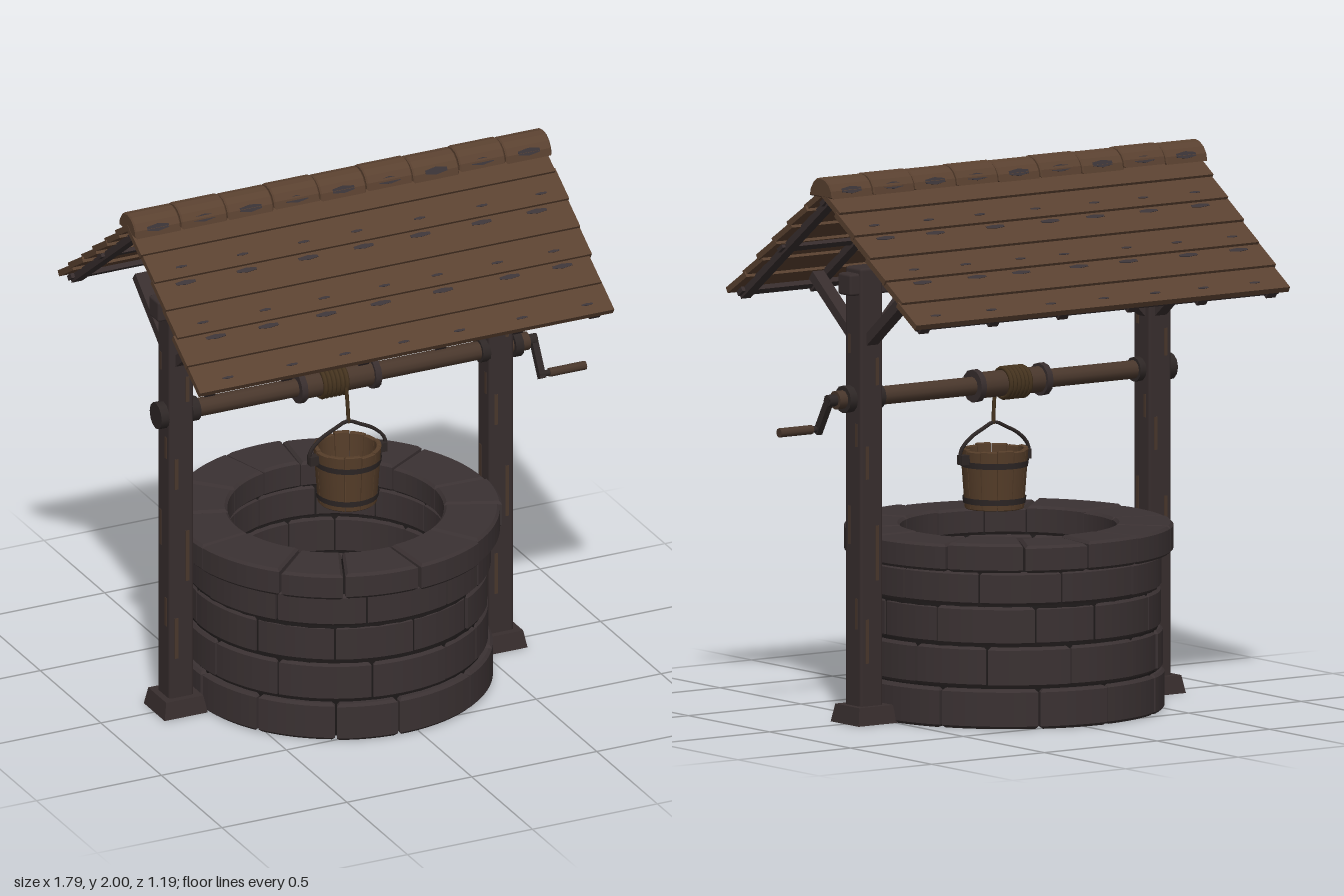
import * as THREE from 'three';
import { RoundedBoxGeometry } from 'three/addons/geometries/RoundedBoxGeometry.js';

const material = (name, color, side = THREE.FrontSide) => {
  const m = new THREE.MeshStandardMaterial({ color, side });
  m.name = name;
  return m;
};
const stone = material('stone', 0x3a3132);
const mortar = material('mortar', 0x1e1a1a, THREE.DoubleSide);
const darkWood = material('dark wood', 0x382e2e);
const roofWood = material('roof wood', 0x5a4130);
const axleWood = material('axle wood', 0x49372c);
const bucketWood = material('bucket wood', 0x553d29);
const iron = material('iron', 0x2e2726);
const ropeFibre = material('rope', 0x46341f);
const worn = material('worn patch', 0x3b3437);

const CX = -0.06; // middle of the well, between the posts

function add(parent, name, geo, mat, x = 0, y = 0, z = 0) {
  const m = new THREE.Mesh(geo, mat);
  m.name = name;
  m.position.set(x, y, z);
  parent.add(m);
  return m;
}
function group(parent, name, x = 0, y = 0, z = 0) {
  const g = new THREE.Group();
  g.name = name;
  g.position.set(x, y, z);
  parent.add(g);
  return g;
}
function seeded(seed) {
  return () => (seed = (seed * 16807) % 2147483647) / 2147483647;
}
// bevelled wedge of a ring, standing on y = 0; taper scales its foot
function ringBlock(inner, outer, a0, a1, height, bevel, taper = 1) {
  const s = new THREE.Shape();
  s.absarc(0, 0, outer, a0, a1, false);
  s.absarc(0, 0, inner, a1, a0, true);
  s.closePath();
  const geo = new THREE.ExtrudeGeometry(s, {
    depth: height - 2 * bevel, curveSegments: 4, bevelEnabled: true,
    bevelSegments: 1, bevelSize: bevel, bevelThickness: bevel, bevelOffset: -bevel });
  geo.translate(0, 0, bevel);
  geo.rotateX(-Math.PI / 2);
  const p = geo.attributes.position;
  for (let i = 0; i < p.count; i++) {
    const k = THREE.MathUtils.lerp(taper, 1, p.getY(i) / height);
    p.setXYZ(i, p.getX(i) * k, p.getY(i), p.getZ(i) * k);
  }
  geo.computeVertexNormals();
  return geo;
}
// square bar between two points
function bar(parent, name, from, to, w, d, mat) {
  const a = new THREE.Vector3(...from), b = new THREE.Vector3(...to);
  const m = add(parent, name, new THREE.BoxGeometry(w, a.distanceTo(b), d), mat);
  m.position.copy(a).add(b).multiplyScalar(0.5);
  m.quaternion.setFromUnitVectors(new THREE.Vector3(0, 1, 0), b.sub(a).normalize());
  return m;
}
// cylinder along x from x0 to x1
function rod(parent, name, x0, x1, r, y, z, mat, sides = 12) {
  const geo = new THREE.CylinderGeometry(r, r, x1 - x0, sides).rotateZ(Math.PI / 2);
  return add(parent, name, geo, mat, (x0 + x1) / 2, y, z);
}
function tube(parent, name, points, r, mat) {
  const curve = new THREE.CatmullRomCurve3(points.map(p => new THREE.Vector3(...p)));
  return add(parent, name, new THREE.TubeGeometry(curve, 24, r, 6), mat);
}

function buildWell(root) {
  const rand = seeded(41);
  const well = group(root, 'stoneWell', CX, 0, 0);
  // base y, height, inner radius, outer radius, block count
  const courses = [
    [0.0, 0.144, 0.395, 0.568, 12], [0.15, 0.146, 0.4, 0.558, 12],
    [0.302, 0.14, 0.4, 0.55, 12], [0.448, 0.122, 0.4, 0.56, 12],
    [0.572, 0.098, 0.39, 0.6, 13]];
  courses.forEach(([y, h, ri, ro, n], row) => {
    const step = Math.PI * 2 / n;
    const cuts = Array.from({ length: n }, (_, i) => (i + row * 0.5 + (rand() - 0.5) * 0.4) * step);
    cuts.push(cuts[0] + Math.PI * 2);
    for (let i = 0; i < n; i++) {
      const r = ro - rand() * 0.01, top = row === 4 ? rand() * 0.01 : 0;
      add(well, row === 4 ? 'rimStone' : 'wallStone',
        ringBlock(ri, r, cuts[i] + 0.007, cuts[i + 1] - 0.007, h + top, 0.01), stone, 0, y, 0);
    }
  });
  // mortar core filling the joints
  const core = [[0.41, 0.01], [0.54, 0.01], [0.54, 0.65], [0.41, 0.65], [0.41, 0.01]];
  add(well, 'mortarCore', new THREE.LatheGeometry(core.map(p => new THREE.Vector2(...p)), 40), mortar);
  add(well, 'shaftFloor', new THREE.CircleGeometry(0.41, 32).rotateX(-Math.PI / 2), mortar, 0, 0.07, 0);
}

function buildFrame(root) {
  const frame = group(root, 'frame', CX, 0, 0);
  for (const s of [-1, 1]) {
    const x = s * 0.64;
    add(frame, 'post', new RoundedBoxGeometry(0.1, 1.66, 0.1, 1, 0.012), darkWood, x, 0.83, 0);
    const foot = new THREE.CylinderGeometry(0.105, 0.122, 0.065, 4).rotateY(Math.PI / 4);
    add(frame, 'postFoot', foot.toNonIndexed(), darkWood, x, 0.0325, 0).geometry.computeVertexNormals();
    for (const t of [-1, 1])
      bar(frame, 'roofBrace', [x, 1.385, t * 0.03], [x, 1.595, t * 0.295], 0.05, 0.036, darkWood);
    bar(frame, 'beamBrace', [x - s * 0.03, 1.38, 0], [x - s * 0.21, 1.57, 0], 0.036, 0.05, darkWood);
    // worn streaks on the post faces
    [[0.3, 0.16], [0.62, 0.2], [0.95, 0.12], [1.28, 0.1]].forEach(([y, h], i) => {
      for (const t of [-1, 1]) {
        const d = (i % 2 ? 0.022 : -0.022) * t;
        add(frame, 'postStreak', new THREE.BoxGeometry(0.014, h, 0.003), axleWood, x + d, y, t * 0.05);
        add(frame, 'postStreak', new THREE.BoxGeometry(0.003, h * 0.7, 0.014), axleWood, x + t * 0.05, y + 0.1, d);
      }
    });
  }
  add(frame, 'crossBeam', new RoundedBoxGeometry(1.46, 0.08, 0.08, 1, 0.01), darkWood, 0, 1.6, 0);
}

function buildRoof(root) {
  const rand = seeded(97);
  const roof = group(root, 'roof', CX, 1.95, 0);
  const half = 0.835, rows = 6, pitch = 0.118;
  for (const s of [0, 1]) {
    const turn = group(roof, s ? 'backSlope' : 'frontSlope');
    turn.rotation.y = s * Math.PI;
    const slope = group(turn, 'slope');
    slope.rotation.x = THREE.MathUtils.degToRad(37);
    // lapped boards, each lifted at its lower edge
    for (let i = 0; i < rows; i++) {
      const board = group(slope, 'boardRow', (rand() - 0.5) * 0.012, 0, (i + 0.5) * pitch + 0.008);
      board.rotation.x = -0.09;
      add(board, 'roofBoard', new THREE.BoxGeometry(half * 2 - 0.012, 0.022, pitch + 0.018), roofWood);
      // small worn patches
      if (i > 0) for (let k = 0; k < 7; k++) {
        const w = i % 2 ? 0.05 : 0.09;
        const patch = new THREE.CylinderGeometry(w / 2, w / 2, 0.003, 6).scale(1, 1, 0.22);
        add(board, 'wornPatch', patch, worn, -0.72 + k * 0.235 + rand() * 0.05, 0.011, i % 2 ? 0.025 : -0.03);
      }
    }
    // rafters and battens below the boards
    for (let k = 0; k < 6; k++)
      add(slope, 'rafter', new THREE.BoxGeometry(0.042, 0.026, 0.7), darkWood, -0.77 + k * 0.308, -0.026, 0.365);
    for (const z of [0.05, 0.38, 0.69])
      add(slope, 'batten', new THREE.BoxGeometry(half * 2 - 0.06, 0.018, 0.035), darkWood, 0, -0.021, z);
  }
  // ridge caps
  const arch = new THREE.Shape();
  arch.absarc(0, 0, 0.072, 0, Math.PI, false);
  arch.closePath();
  const n = 9, len = half * 2 / n;
  for (let i = 0; i < n; i++) {
    const geo = new THREE.ExtrudeGeometry(arch, {
      depth: len - 0.014, curveSegments: 4, bevelEnabled: true, bevelSegments: 1,
      bevelSize: 0.005, bevelThickness: 0.005, bevelOffset: -0.005 }).rotateY(Math.PI / 2);
    const cap = add(roof, 'ridgeCap', geo, roofWood, -half + i * len + 0.006, -0.024 + (i % 2) * 0.003, 0);
    cap.rotation.x = (rand() - 0.5) * 0.08;
    for (const t of [-1, 1]) {
      const spot = new THREE.CylinderGeometry(0.05, 0.05, 0.004, 6).scale(1, 1, 0.28);
      const m = add(roof, 'wornPatch', spot, worn, -half + (i + 0.5) * len, 0.004, t * 0.064);
      m.rotation.x = t * 1.15;
    }
  }
}

function buildWinch(root) {
  const y = 1.18, z = 0.012;
  const winch = group(root, 'winch');
  rod(winch, 'axle', -0.78, 0.7, 0.034, y, z, axleWood);
  rod(winch, 'drum', -0.21, 0.07, 0.048, y, z, axleWood);
  for (const x of [-0.215, 0.08]) rod(winch, 'drumCollar', x - 0.012, x + 0.012, 0.06, y, z, darkWood);
  for (const [x, r] of [[-0.77, 0.05], [-0.64, 0.045], [0.52, 0.045], [0.65, 0.05]])
    rod(winch, 'bearing', x - 0.016, x + 0.016, r, y, z, iron);
  for (let i = 0; i < 6; i++) {
    const coil = new THREE.TorusGeometry(0.053, 0.009, 6, 20).rotateY(Math.PI / 2);
    add(winch, 'ropeCoil', coil, ropeFibre, -0.13 + i * 0.017, y, z);
  }
  // crank arm and handle
  rod(winch, 'crankHub', 0.68, 0.735, 0.022, y, z, iron, 8);
  bar(winch, 'crankArm', [0.725, 1.195, 0.005], [0.725, 1.055, 0.085], 0.024, 0.026, iron);
  rod(winch, 'handleRod', 0.715, 0.77, 0.012, 1.07, 0.08, iron, 8);
  rod(winch, 'handleGrip', 0.755, 0.9, 0.017, 1.07, 0.08, axleWood, 8);
  tube(winch, 'hangingRope', [[-0.05, 1.17, 0.066], [-0.045, 1.1, 0.067], [-0.04, 1.025, 0.065]], 0.007, ropeFibre);
}

function buildBucket(root) {
  const bucket = group(root, 'bucket', -0.045, 0.72, 0.065);
  const n = 12, step = Math.PI * 2 / n;
  for (let i = 0; i < n; i++)
    add(bucket, 'stave', ringBlock(0.105, 0.123, i * step + 0.012, (i + 1) * step - 0.012,
      0.215 + (i % 3) * 0.003, 0.003, 0.87), bucketWood);
  add(bucket, 'bucketBottom', new THREE.CylinderGeometry(0.1, 0.097, 0.015, 24), bucketWood, 0, 0.02, 0);
  for (const [y, r] of [[0.032, 0.113], [0.165, 0.122]])
    add(bucket, 'hoop', new THREE.CylinderGeometry(r + 0.003, r, 0.022, 24, 1, true),
      mortar === undefined ? iron : hoopIron, 0, y, 0);
  // bail with side lugs
  const side = [[0.148, 0.17, 0], [0.15, 0.215, 0], [0.11, 0.26, 0], [0.05, 0.292, 0]];
  const left = side.map(([x, y, z]) => [-x, y, z]);
  tube(bucket, 'bail', [...left, [0, 0.312, 0], ...side.reverse()], 0.007, iron);
  for (const s of [-1, 1])
    add(bucket, 'lug', new THREE.BoxGeometry(0.04, 0.035, 0.03), iron, s * 0.134, 0.185, 0);
}
const hoopIron = material('hoop iron', 0x2e2726, THREE.DoubleSide);

export function createModel() {
  const root = new THREE.Group();
  root.name = 'wishingWell';
  buildWell(root);
  buildFrame(root);
  buildRoof(root);
  buildWinch(root);
  buildBucket(root);
  return root;
}
